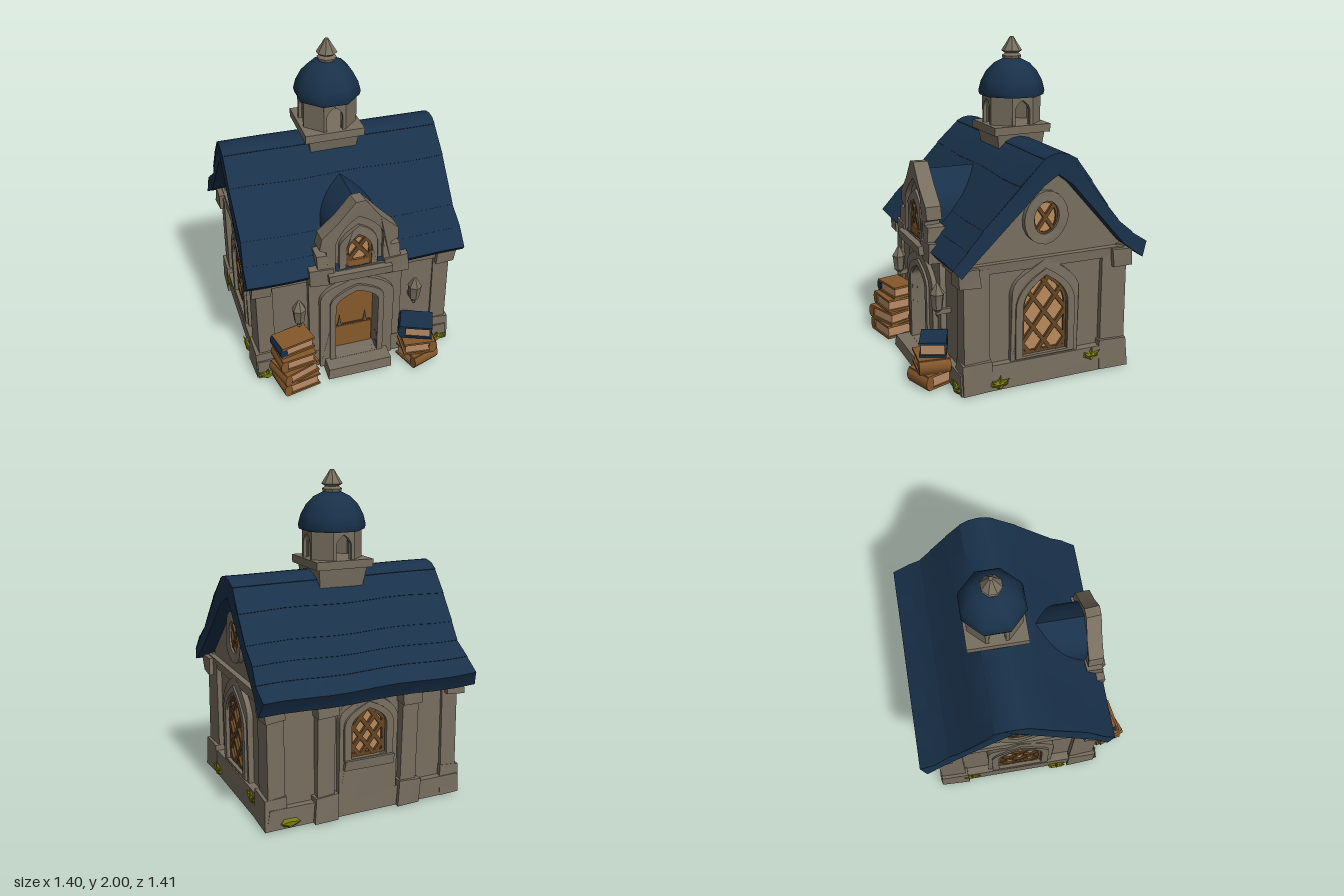
import * as THREE from 'three';
import { toCreasedNormals } from 'three/addons/utils/BufferGeometryUtils.js';

const flat = (name, color) => {
  const m = new THREE.MeshStandardMaterial({ color });
  m.name = name;
  return m;
};

export function createModel() {
  const root = new THREE.Group();
  root.name = 'chapel';
  const stone = flat('stone', 0x776e5f), roofBlue = flat('roof blue', 0x19314a);
  const wood = flat('wood', 0x85592b), lattice = flat('lattice wood', 0x644625);
  const glass = flat('warm glass', 0xb98a5c), paper = flat('paper', 0xb98c66);
  const moss = flat('moss', 0x777a10);

  const add = (parent, name, geo, mat, crease = 0.5) => {
    const mesh = new THREE.Mesh(toCreasedNormals(geo, crease), mat);
    mesh.name = name;
    parent.add(mesh);
    return mesh;
  };
  // Gentle hand-hewn distortion, continuous in space
  const wobble = (geo, a) => {
    const p = geo.attributes.position;
    for (let i = 0; i < p.count; i++) {
      const x = p.getX(i), y = p.getY(i), z = p.getZ(i);
      p.setXYZ(i, x + a * Math.sin(y * 23 + z * 17), y + a * Math.sin(x * 19 + z * 13) * (y > 0.03 ? 1 : 0), z + a * Math.sin(x * 15 + y * 21));
    }
    return geo;
  };
  // Box from ranges; taper scales its top
  const box = (parent, name, mat, [x0, x1, y0, y1, z0, z1], taper = 1, rough = 0.006) => {
    const g = new THREE.BoxGeometry(x1 - x0, y1 - y0, z1 - z0);
    const p = g.attributes.position;
    for (let i = 0; i < p.count; i++) if (p.getY(i) > 0) p.setXYZ(i, p.getX(i) * taper, p.getY(i), p.getZ(i) * taper);
    g.translate((x0 + x1) / 2, (y0 + y1) / 2, (z0 + z1) / 2);
    return add(parent, name, wobble(g, rough), mat);
  };
  const polygon = (pts) => new THREE.Shape(pts.map((p) => new THREE.Vector2(...p)));
  const extrude = (shape, z0, z1, steps = 1) =>
    new THREE.ExtrudeGeometry(shape, { depth: z1 - z0, bevelEnabled: false, steps, curveSegments: 10 }).translate(0, 0, z0);

  // Pointed arch: half width, base, spring line, apex
  const archWidth = ([hw, y0, ys, ya], y) => {
    if (y < y0 || y > ya) return 0;
    return y < ys ? hw : hw * (1 - Math.pow((y - ys) / (ya - ys), 2.3));
  };
  const archPoints = (a) => {
    const right = [[a[0], a[1]]];
    for (let i = 0; i < 6; i++) {
      const y = a[2] + (a[3] - a[2]) * i / 6;
      right.push([archWidth(a, y), y]);
    }
    const left = right.map(([x, y]) => [-x, y]).reverse();
    return [...right, [0, a[3]], ...left].map(([x, y]) => new THREE.Vector2(x, y));
  };
  const archShape = (a, hole) => {
    const s = new THREE.Shape(archPoints(a));
    if (hole) s.holes.push(new THREE.Path(archPoints(hole)));
    return s;
  };
  // Arched window with frame, pane and clipped diagonal bars, facing +z
  const archWindow = (parent, name, pane, outer, depth, gap) => {
    const g = new THREE.Group();
    g.name = name;
    parent.add(g);
    add(g, 'windowFrame', wobble(extrude(archShape(outer, pane), -0.01, depth), 0.005), stone);
    if (outer[0] - pane[0] > 0.05) {
      const mid = pane.map((v, i) => v + [0.045, -0.015, 0, 0.04][i]);
      add(g, 'innerMoulding', extrude(archShape(mid, pane), 0, depth + 0.012), stone);
    }
    add(g, 'pane', extrude(archShape(pane), -0.05, depth * 0.35), glass);
    add(g, 'woodRim', extrude(archShape(pane, [pane[0] - 0.018, pane[1] + 0.02, pane[2], pane[3] - 0.02]), 0, depth * 0.7), lattice);
    for (const s of [-1.3, 1.3]) for (let c = pane[1] - 0.3; c < pane[3] + 0.3; c += gap) {
      let lo = null, hi = null;
      for (let i = 0; i <= 60; i++) {
        const x = pane[0] * (i / 30 - 1);
        if (Math.abs(x) <= archWidth(pane, c + s * x)) { lo ??= x; hi = x; }
      }
      if (lo === null || hi - lo < 0.03) continue;
      const bar = add(g, 'latticeBar', new THREE.BoxGeometry((hi - lo) * Math.hypot(1, s), 0.024, 0.02), lattice);
      bar.position.set((lo + hi) / 2, c + s * (lo + hi) / 2, depth * 0.5);
      bar.rotation.z = Math.atan(s);
    }
    return g;
  };

  // Walls, open underneath, with a doorway through the front
  const doorway = [0.138, 0.08, 0.5, 0.61];
  const gable = polygon([[-0.57, 0.02], [0.42, 0.02], [0.42, 0.86], [-0.11, 1.34], [-0.57, 0.86]]);
  const frontWall = polygon([[-0.58, 0.02], [0.58, 0.02], [0.58, 0.84], [-0.58, 0.84]]);
  frontWall.holes.push(new THREE.Path(archPoints(doorway)));
  add(root, 'frontWall', extrude(frontWall, 0.41, 0.44), stone);
  box(root, 'backWall', stone, [-0.58, 0.58, 0.02, 0.84, -0.58, -0.55], 1, 0.003);
  box(root, 'backPlinth', stone, [-0.64, 0.64, 0.01, 0.14, -0.62, -0.56], 0.98);
  box(root, 'backCornice', stone, [-0.6, 0.6, 0.72, 0.8, -0.61, -0.55]);
  box(root, 'frontCornice', stone, [-0.6, 0.6, 0.7, 0.8, 0.42, 0.465]);
  for (const s of [-1, 1]) {
    const side = (a, b) => (s > 0 ? [a, b] : [-b, -a]);
    add(root, 'gableWall', extrude(gable, -0.02, 0.02).rotateY(-Math.PI / 2).translate(s * 0.57, 0, 0), stone);
    box(root, 'frontPlinth', stone, [...side(0.17, 0.64), 0.01, 0.14, 0.42, 0.48], 0.98);
    box(root, 'sidePlinth', stone, [...side(0.57, 0.64), 0.01, 0.17, -0.61, 0.47], 0.98);
    box(root, 'sideCornice', stone, [...side(0.57, 0.62), 0.73, 0.79, -0.59, 0.45]);
    for (const [z0, z1] of [[0.29, 0.455], [-0.605, -0.44]]) {
      box(root, 'cornerPilaster', stone, [...side(0.52, 0.625), 0.02, 0.76, z0, z1], 0.98);
      box(root, 'cornerFoot', stone, [...side(0.51, 0.65), 0.01, 0.2, z0 - 0.015, z1 + 0.015], 0.93);
    }
    for (const z of [0.36, -0.63]) box(root, 'eaveCorbel', stone, [...side(0.53, 0.65), 0.67, 0.78, z, z + 0.13]);
    // Back buttresses
    box(root, 'backButtress', stone, [...side(0.22, 0.33), 0.01, 0.7, -0.63, -0.56], 0.97);
    box(root, 'buttressCap', stone, [...side(0.21, 0.34), 0.66, 0.78, -0.66, -0.56]);
    box(root, 'buttressFoot', stone, [...side(0.2, 0.35), 0.01, 0.17, -0.65, -0.56], 0.95);
    // Side lattice window and round gable window
    const win = archWindow(root, 'sideWindow', [0.147, 0.19, 0.48, 0.68], [0.22, 0.12, 0.56, 0.77], 0.04, 0.185);
    win.position.set(s * 0.585, 0, -0.06);
    win.rotation.y = s * Math.PI / 2;
    const round = new THREE.Group();
    round.name = 'roundWindow';
    round.position.set(s * 0.585, 1.02, -0.06);
    round.rotation.y = s * Math.PI / 2;
    root.add(round);
    const ring = (rx, ry, w) => {
      const shape = new THREE.Shape().absellipse(0, 0, rx, ry, 0, Math.PI * 2);
      shape.holes.push(new THREE.Path().absellipse(0, 0, rx - w, ry - w, 0, Math.PI * 2));
      return shape;
    };
    add(round, 'roundFrame', wobble(extrude(ring(0.138, 0.158, 0.06), 0, 0.04), 0.004), stone);
    add(round, 'roundRim', extrude(ring(0.085, 0.105, 0.017), 0, 0.025), lattice);
    add(round, 'roundPane', new THREE.CylinderGeometry(0.1, 0.1, 0.06, 12).rotateX(Math.PI / 2).scale(0.8, 1.02, 1).translate(0, 0, -0.018), glass);
    for (const r of [-1, 1]) add(round, 'roundBar', new THREE.BoxGeometry(0.18, 0.022, 0.02).rotateZ(r * 0.95).translate(0, 0, 0.018), lattice);
  }
  const back = archWindow(root, 'backWindow', [0.115, 0.37, 0.56, 0.67], [0.19, 0.1, 0.6, 0.75], 0.045, 0.12);
  back.position.z = -0.58;
  back.rotation.y = Math.PI;
  box(root, 'backSill', stone, [-0.16, 0.16, 0.3, 0.36, -0.65, -0.57]);

  // Main roof: shallow courses on a bent profile
  const slope = (pts, sign) => pts.flatMap(([z, y], i) => {
    if (i < 2) return [[z, y]];
    const [pz, py] = pts[i - 1], l = Math.hypot(z - pz, y - py);
    return [[z + sign * 0.004 * Math.abs(y - py) / l, y + 0.004 * Math.abs(z - pz) / l], [z, y]];
  });
  const front = slope([[-0.11, 1.408], [-0.06, 1.4], [-0.015, 1.375], [0.13, 1.23], [0.35, 0.995], [0.45, 0.89], [0.535, 0.795]], 1);
  const rear = slope([[-0.11, 1.408], [-0.17, 1.395], [-0.225, 1.36], [-0.32, 1.23], [-0.43, 1.07], [-0.51, 0.97], [-0.6, 0.885], [-0.705, 0.81]], -1);
  const under = [[-0.67, 0.725], [-0.55, 0.82], [-0.2, 1.22], [-0.11, 1.285], [-0.02, 1.23], [0.4, 0.825], [0.49, 0.745]];
  const roofGeo = extrude(polygon([...front.reverse(), ...rear.slice(1), ...under]), -0.675, 0.675, 10).rotateY(-Math.PI / 2);
  const rp = roofGeo.attributes.position;
  for (let i = 0; i < rp.count; i++) {
    const x = rp.getX(i), y = rp.getY(i), z = rp.getZ(i);
    rp.setX(i, x * (1 + Math.max(0, 0.95 - y) * 0.14 + 0.008 * Math.sin(y * 37)));
    rp.setY(i, y + 0.006 * Math.sin(x * 9 + z * 5) * (y < 1.3 ? 1 : 0.2));
  }
  add(root, 'mainRoof', roofGeo, roofBlue, 0.7);

  // Dormer
  const dormer = new THREE.Group();
  dormer.name = 'dormer';
  root.add(dormer);
  add(dormer, 'dormerRoof', extrude(archShape([0.185, 0.8, 0.98, 1.225]), 0.02, 0.46), roofBlue, 1);
  const coping = polygon([[-0.2, 0.79], [0.2, 0.79], [0.2, 0.95], [0.245, 0.97], [0.235, 1.05], [0.13, 1.15], [0.03, 1.275], [-0.03, 1.275], [-0.13, 1.15], [-0.235, 1.05], [-0.245, 0.97], [-0.2, 0.95]]);
  coping.holes.push(new THREE.Path(archPoints([0.15, 0.81, 0.98, 1.17])));
  add(dormer, 'dormerCoping', wobble(extrude(coping, 0.44, 0.535), 0.004), stone);
  add(dormer, 'dormerFace', extrude(archShape([0.155, 0.8, 0.98, 1.18]), 0.44, 0.505), stone);
  archWindow(dormer, 'dormerWindow', [0.08, 0.8, 0.93, 1.04], [0.12, 0.79, 0.96, 1.1], 0.025, 0.15).position.z = 0.505;
  box(dormer, 'windowFootPanel', wood, [-0.064, 0.064, 0.815, 0.86, 0.51, 0.528], 1, 0);
  box(dormer, 'dormerSill', stone, [-0.2, 0.2, 0.75, 0.805, 0.43, 0.57]);
  for (const s of [-1, 1]) {
    const side = (a, b) => (s > 0 ? [a, b] : [-b, -a]);
    box(dormer, 'dormerShoulder', stone, [...side(0.15, 0.26), 0.82, 0.93, 0.43, 0.535]);
    box(dormer, 'dormerFoot', stone, [...side(0.16, 0.31), 0.72, 0.84, 0.42, 0.545]);
  }

  // Entrance with a recessed door
  const portal = new THREE.Group();
  portal.name = 'entrance';
  root.add(portal);
  add(portal, 'portalBlock', wobble(extrude(archShape([0.3, 0.02, 0.74, 0.8], doorway), 0.42, 0.475), 0.004), stone);
  add(portal, 'portalArch', wobble(extrude(archShape([0.24, 0.02, 0.54, 0.71], doorway), 0.43, 0.505), 0.004), stone);
  add(portal, 'portalMoulding', extrude(archShape([0.175, 0.05, 0.52, 0.655], doorway), 0.43, 0.52), stone);
  box(portal, 'lintel', stone, [-0.24, 0.24, 0.72, 0.79, 0.42, 0.51]);
  add(portal, 'door', extrude(archShape([0.23, 0.03, 0.58, 0.69]), 0.385, 0.408), wood);
  box(portal, 'doorKickPanel', wood, [-0.13, 0.13, 0.08, 0.25, 0.4, 0.417], 1, 0);
  for (const y of [0.252, 0.575]) box(portal, 'doorRail', lattice, [-0.125, 0.125, y, y + 0.01, 0.4, 0.417], 1, 0);
  for (const x of [-0.085, 0.085]) add(portal, 'doorHandle', new THREE.ConeGeometry(0.014, 0.09, 6).translate(x, 0.31, 0.42), stone);
  box(portal, 'doorStep', stone, [-0.21, 0.21, 0.005, 0.08, 0.39, 0.615], 0.98);

  // Bell tower
  const tower = new THREE.Group();
  tower.name = 'bellTower';
  tower.position.z = -0.12;
  root.add(tower);
  box(tower, 'towerBase', stone, [-0.13, 0.13, 1.24, 1.43, -0.13, 0.13], 1.22, 0.003);
  box(tower, 'towerLedge', stone, [-0.185, 0.185, 1.425, 1.475, -0.185, 0.185], 1, 0.004);
  const panel = polygon([[-0.069, 1.465], [0.069, 1.465], [0.069, 1.665], [-0.069, 1.665]]);
  const openPanel = panel.clone();
  openPanel.holes.push(new THREE.Path(archPoints([0.049, 1.472, 1.56, 1.628])));
  for (let i = 0; i < 8; i++) add(tower, 'towerPanel', extrude(i % 2 ? panel : openPanel, 0.13, 0.167).rotateY(i * Math.PI / 4), stone);
  const lathe = (name, pts, mat, crease) => add(tower, name, new THREE.LatheGeometry(pts.map((p) => new THREE.Vector2(...p)), 8, Math.PI / 8), mat, crease);
  lathe('dome', [[0, 1.665], [0.198, 1.645], [0.205, 1.67], [0.19, 1.73], [0.155, 1.795], [0.11, 1.84], [0.05, 1.87], [0, 1.875]], roofBlue, 1.1);
  lathe('finial', [[0.05, 1.85], [0.06, 1.885], [0.042, 1.9], [0.064, 1.915], [0.035, 1.96], [0.012, 1.998], [0, 2]], stone, 0.5);

  // Wall lanterns
  for (const x of [-0.375, 0.375]) {
    const prof = [[0, 0.41], [0.015, 0.43], [0.012, 0.445], [0.032, 0.465], [0.042, 0.55], [0.046, 0.56], [0.022, 0.6], [0.01, 0.62], [0, 0.625]];
    add(root, 'lantern', new THREE.LatheGeometry(prof.map((p) => new THREE.Vector2(...p)), 6).translate(x, 0, 0.522), stone);
    box(root, 'lanternBracket', stone, [x - 0.012, x + 0.012, 0.43, 0.46, 0.43, 0.52], 1, 0);
  }

  // Book stacks: centre, size, turn, cover and spine colours
  const book = (x, y, z, w, h, d, turn, cover, spine) => {
    const g = new THREE.Group();
    g.name = 'book';
    g.position.set(x, y, z);
    g.rotation.y = turn;
    root.add(g);
    box(g, 'pages', paper, [-w / 2 + 0.01, w / 2 - 0.012, 0.01, h - 0.01, -d / 2 + 0.01, d / 2 - 0.01], 1, 0);
    for (const cy of [0, h - 0.014]) box(g, 'cover', cover, [-w / 2, w / 2, cy, cy + 0.014, -d / 2, d / 2], 1, 0);
    add(g, 'spine', new THREE.CylinderGeometry(h / 2, h / 2, d, 12).rotateX(Math.PI / 2).scale(0.6, 1, 1).translate(-w / 2 + 0.01, h / 2, 0), spine);
  };
  book(-0.41, 0.015, 0.575, 0.23, 0.09, 0.18, 0.2, wood, wood);
  book(-0.42, 0.107, 0.57, 0.24, 0.085, 0.18, 0.35, wood, wood);
  book(-0.42, 0.195, 0.56, 0.22, 0.085, 0.17, 0.15, wood, wood);
  book(-0.42, 0.283, 0.535, 0.22, 0.08, 0.15, 0.22, wood, roofBlue);
  book(0.39, 0.015, 0.575, 0.18, 0.09, 0.19, 1.9, wood, wood);
  book(0.385, 0.108, 0.57, 0.2, 0.09, 0.19, Math.PI - 0.12, wood, wood);
  book(0.39, 0.212, 0.555, 0.2, 0.09, 0.16, -0.4, roofBlue, roofBlue);

  // Moss clumps hugging the footings, with a few upright leaves
  for (const [x, y, z] of [[-0.58, 0.01, 0.475], [0.57, 0.01, 0.475], [0.64, 0.025, 0.24], [0.63, 0.09, -0.37], [-0.64, 0.025, 0.2], [-0.63, 0.09, -0.4], [0.5, 0.02, -0.62]]) {
    const onSide = Math.abs(x) > 0.6;
    add(root, 'mossClump', new THREE.IcosahedronGeometry(0.035, 0).scale(onSide ? 0.8 : 2, 0.8, onSide ? 2 : 0.8).translate(x, y + 0.025, z), moss);
    for (let i = -1; i <= 1; i++) {
      const leaf = add(root, 'mossLeaf', new THREE.ConeGeometry(0.024, 0.08, 5).translate(0, 0.04, 0), moss);
      leaf.position.set(x, y + 0.01, z);
      leaf.rotation.set(onSide ? i * 0.9 : 0.3, 0, onSide ? -0.3 * Math.sign(x) : i * 0.9);
    }
  }
  return root;
}
